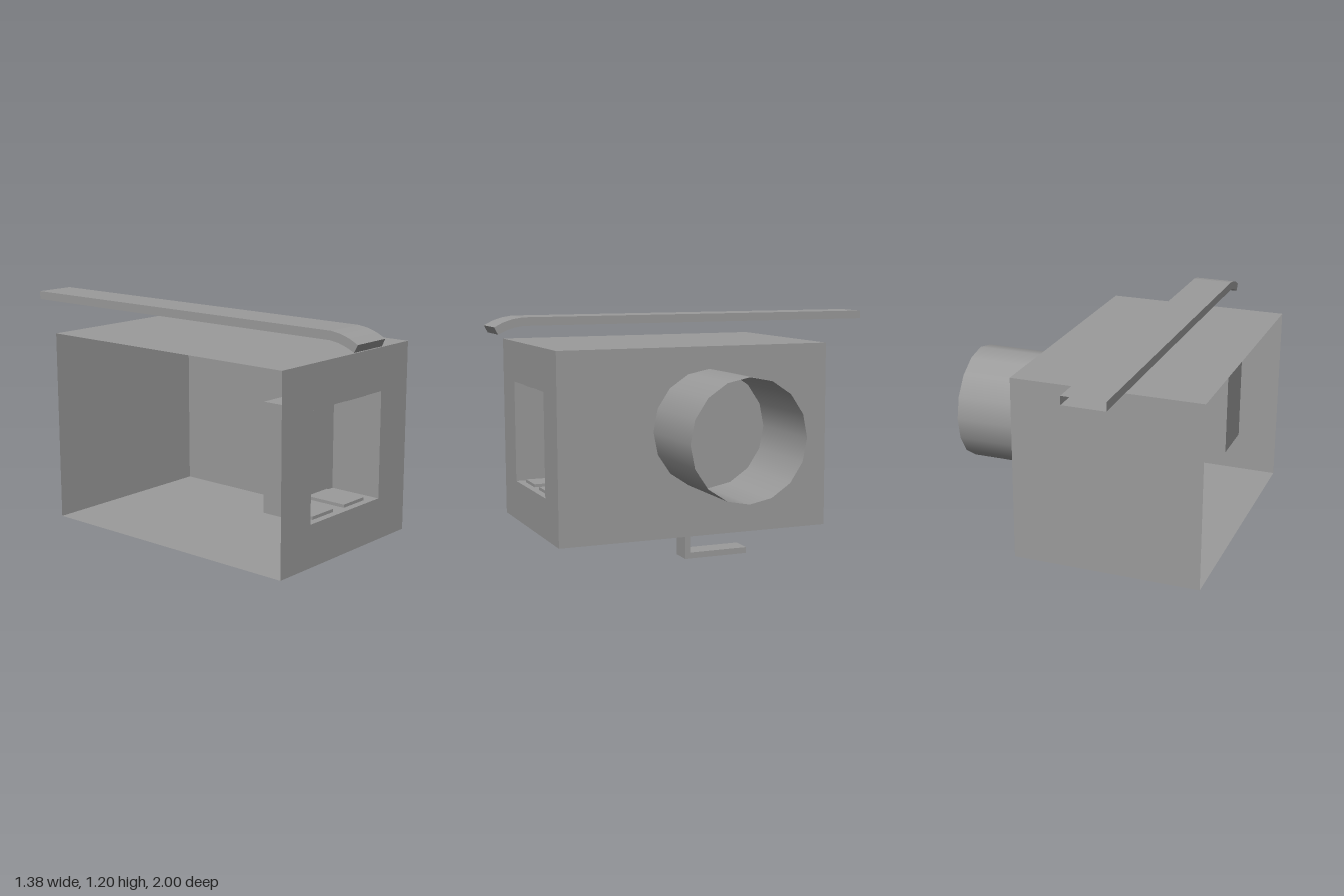
import * as THREE from 'three';

const color = 0x9b9b9b;
const mat = new THREE.MeshStandardMaterial({ color, side: THREE.DoubleSide });
const flatMat = new THREE.MeshStandardMaterial({ color, side: THREE.DoubleSide, flatShading: true });

// Extents of the housing and of the recess in its front
const X0 = -0.69, X1 = 0.237, Y0 = 0.155, Y1 = 1.068, Z0 = -0.555, Z1 = 0.83;
const R = { x0: -0.485, x1: 0.03, y0: 0.355, y1: 0.864, z0: 0.565, z1: Z1 };

function add(parent, name, geometry, x = 0, y = 0, z = 0, material = mat) {
  const mesh = new THREE.Mesh(geometry, material);
  mesh.name = name;
  mesh.position.set(x, y, z);
  parent.add(mesh);
  return mesh;
}

// Thin wall facing along one axis
function wall(parent, name, axis, w, h, x, y, z) {
  const g = new THREE.PlaneGeometry(w, h);
  if (axis === 'x') g.rotateY(Math.PI / 2);
  if (axis === 'y') g.rotateX(-Math.PI / 2);
  return add(parent, name, g, x, y, z);
}

function rect(Type, x0, x1, y0, y1) {
  const p = new Type();
  p.moveTo(x0, y0);
  p.lineTo(x1, y0);
  p.lineTo(x1, y1);
  p.lineTo(x0, y1);
  p.closePath();
  return p;
}

// Rectangular strip through stations [zOuter, yOuter, zInner, yInner];
// the first end can be capped, the last end stays open
function strip(x0, x1, stations, capStart) {
  const pos = [], idx = [];
  for (const [zo, yo, zi, yi] of stations) {
    pos.push(x0, yo, zo, x1, yo, zo, x1, yi, zi, x0, yi, zi);
  }
  for (let s = 0; s < stations.length - 1; s++) {
    for (let k = 0; k < 4; k++) {
      const a = s * 4 + k, b = s * 4 + (k + 1) % 4;
      idx.push(a, b, b + 4, a, b + 4, a + 4);
    }
  }
  if (capStart) idx.push(0, 2, 1, 0, 3, 2);
  const g = new THREE.BufferGeometry();
  g.setAttribute('position', new THREE.Float32BufferAttribute(pos, 3));
  g.setIndex(idx);
  const flat = g.toNonIndexed();
  flat.computeVertexNormals();
  return flat;
}

export function createModel() {
  const model = new THREE.Group();
  model.name = 'model';

  // Housing, open on its -x side
  const housing = new THREE.Group();
  housing.name = 'housing';
  model.add(housing);
  const w = X1 - X0, h = Y1 - Y0, d = Z1 - Z0;
  const cx = (X0 + X1) / 2, cy = (Y0 + Y1) / 2, cz = (Z0 + Z1) / 2;
  wall(housing, 'backWall', 'z', w, h, cx, cy, Z0).rotation.y = Math.PI;
  wall(housing, 'topWall', 'y', w, d, cx, Y1, cz);
  wall(housing, 'bottomWall', 'y', w, d, cx, Y0, cz).rotation.x = Math.PI;
  wall(housing, 'leftWall', 'x', d, h, X1, cy, cz);
  const front = rect(THREE.Shape, X0, X1, Y0, Y1);
  front.holes.push(rect(THREE.Path, R.x0, R.x1, R.y0, R.y1));
  add(housing, 'frontWall', new THREE.ShapeGeometry(front), 0, 0, Z1);

  // Recess behind the front opening
  const recess = new THREE.Group();
  recess.name = 'recess';
  model.add(recess);
  const rw = R.x1 - R.x0, rh = R.y1 - R.y0, rd = R.z1 - R.z0;
  const rx = (R.x0 + R.x1) / 2, ry = (R.y0 + R.y1) / 2, rz = (R.z0 + R.z1) / 2;
  wall(recess, 'recessBack', 'z', rw, rh, rx, ry, R.z0);
  for (const x of [R.x0, R.x1]) wall(recess, 'recessSide', 'x', rd, rh, x, ry, rz);
  for (const y of [R.y0, R.y1]) wall(recess, 'recessFloor', 'y', rw, rd, rx, y, rz);

  // Raised pads on the floor and ceiling of the recess
  for (const x of [-0.35, -0.117]) {
    for (const y of [R.y0 + 0.0075, R.y1 - 0.0075]) {
      add(recess, 'pad', new THREE.BoxGeometry(0.152, 0.015, 0.21), x, y, 0.69);
    }
  }

  // Open round tube on the side
  const tube = new THREE.CylinderGeometry(0.2875, 0.2875, 0.453, 16, 1, true);
  tube.rotateZ(-Math.PI / 2);
  add(model, 'sideTube', tube, 0.4635, 0.6725, 0.0725);

  // Long bar above the housing, curled down at the front
  add(model, 'topBar', strip(-0.4, -0.198, [
    [1.0, 1.155, 0.982, 1.12],
    [0.957, 1.177, 0.943, 1.138],
    [0.91, 1.192, 0.9, 1.152],
    [0.86, 1.2, 0.857, 1.159],
    [-1.0, 1.2, -1.0, 1.159],
  ], true), 0, 0, 0, flatMat);

  // Bent bracket below the housing
  add(model, 'bottomBracket', strip(-0.058, 0.058, [
    [0.125, Y0, 0.095, Y0],
    [0.125, 0, 0.095, 0.03],
    [-0.21, 0, -0.21, 0.03],
  ], false), 0, 0, 0, flatMat);

  return model;
}
